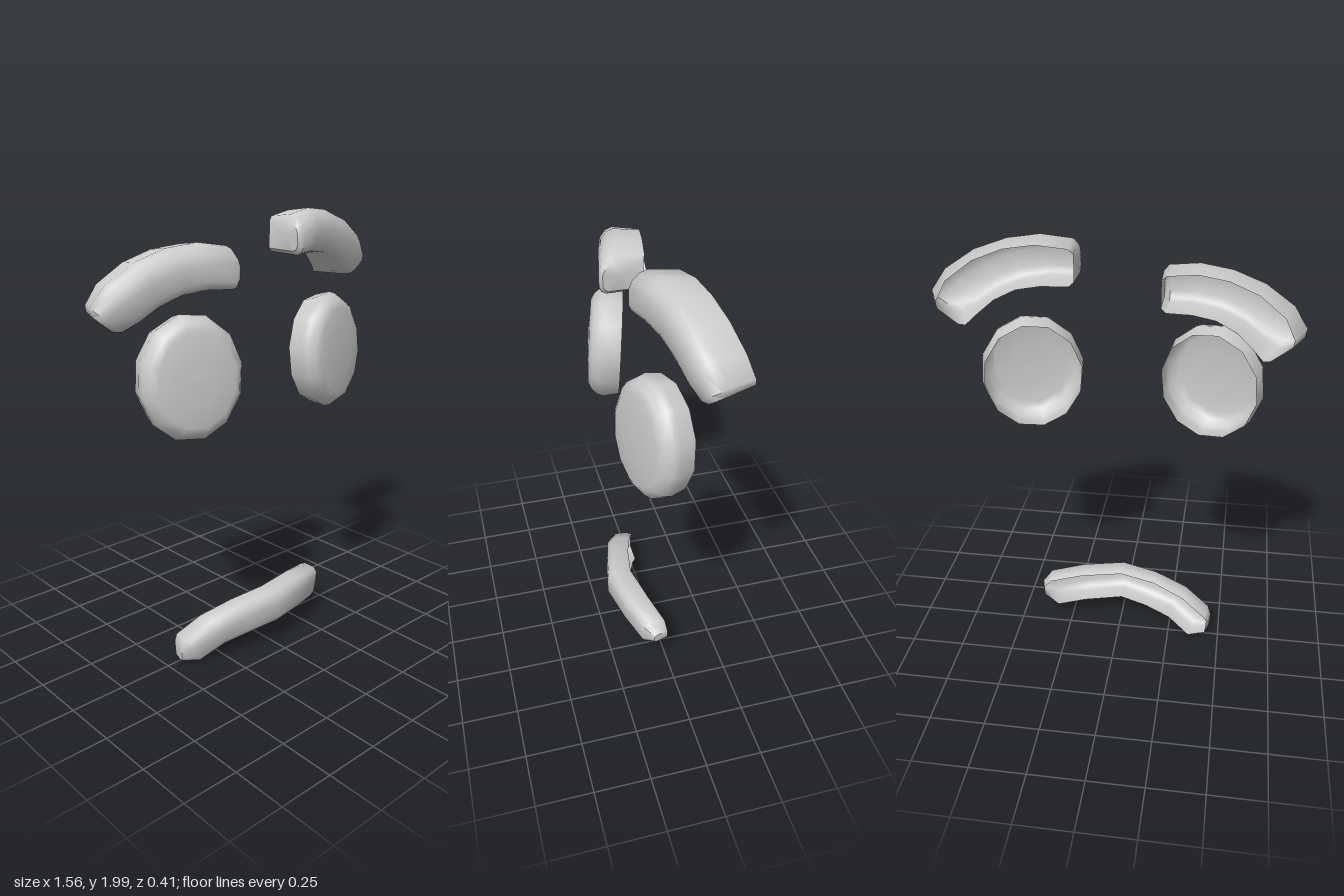
import * as THREE from 'three';
import { toCreasedNormals } from 'three/addons/utils/BufferGeometryUtils.js';

const material = new THREE.MeshStandardMaterial({ color: 0xcccccc, side: THREE.DoubleSide });

function addMesh(parent, name, geometry) {
  const mesh = new THREE.Mesh(geometry, material);
  mesh.name = name;
  parent.add(mesh);
  return mesh;
}

// Open-backed bar swept along x.
// station: [topX, topY, bottomX, bottomY, frontZ, backZ, backShiftX]
// profile: [s, d] with s from top (0) to bottom (1), d from back (0) to front (1)
function shellBar(stations, profile) {
  const positions = [], index = [], n = profile.length;
  const point = ([tx, ty, bx, by, zf, zb, shift], [s, d]) => positions.push(
    tx + (bx - tx) * s + shift * (1 - d), ty + (by - ty) * s, zb + (zf - zb) * d);
  for (const station of stations) for (const p of profile) point(station, p);
  for (let i = 0; i < stations.length - 1; i++) {
    for (let j = 0; j < n - 1; j++) {
      const a = i * n + j, b = a + n;
      index.push(a, a + 1, b, b, a + 1, b + 1);
    }
  }
  // Closed ends
  [0, stations.length - 1].forEach((row, end) => {
    const centre = positions.length / 3;
    point(stations[row], [0.5, 0.5]);
    for (let j = 0; j < n - 1; j++) {
      const a = row * n + j;
      if (end) index.push(centre, a, a + 1);
      else index.push(centre, a + 1, a);
    }
    const first = row * n, last = first + n - 1;
    if (end) index.push(centre, last, first);
    else index.push(centre, first, last);
  });
  const geometry = new THREE.BufferGeometry();
  geometry.setAttribute('position', new THREE.Float32BufferAttribute(positions, 3));
  geometry.setIndex(index);
  return toCreasedNormals(geometry, 0.85);
}

// Shallow twelve-sided cup with a softly domed front
function eyeGeometry() {
  const profile = [[1, 0], [1.06, 0.07], [1.03, 0.1], [0.93, 0.13], [0.8, 0.146], [0.4, 0.153], [0, 0.155]]
    .map(([r, d]) => new THREE.Vector2(r, d));
  return new THREE.LatheGeometry(profile, 12, THREE.MathUtils.degToRad(20))
    .rotateX(Math.PI / 2)
    .scale(0.22, 0.252, 1)
    .rotateX(-0.06)
    .rotateY(0.245)
    .translate(0.388, 1.355, 0.02);
}

function browGeometry() {
  const stations = [
    [0.178, 1.955, 0.178, 1.825, 0.112, -0.065, 0],
    [0.2, 1.98, 0.2, 1.807, 0.125, -0.075, 0],
    [0.33, 2.0, 0.31, 1.812, 0.098, -0.098, 0],
    [0.47, 1.985, 0.42, 1.8, 0.07, -0.12, -0.01],
    [0.61, 1.94, 0.52, 1.762, 0.046, -0.145, -0.025],
    [0.74, 1.86, 0.61, 1.705, 0.02, -0.175, -0.045],
    [0.805, 1.775, 0.675, 1.67, -0.01, -0.2, -0.07],
    [0.797, 1.745, 0.705, 1.675, -0.03, -0.205, -0.07],
  ];
  const profile = [[0.08, 0], [0, 0.62], [0.06, 0.78], [0.22, 0.93], [0.42, 1],
    [0.8, 1], [0.94, 0.95], [1, 0.84], [0.98, 0]];
  return shellBar(stations, profile);
}

function mouthGeometry() {
  const stations = [
    [-0.46, 0.11, -0.455, 0.03, 0.05, -0.025, 0.02],
    [-0.45, 0.14, -0.37, 0.008, 0.085, -0.03, 0.02],
    [-0.33, 0.212, -0.26, 0.075, 0.135, 0.01, 0.01],
    [-0.17, 0.26, -0.13, 0.1, 0.172, 0.055, 0],
    [0, 0.28, 0, 0.12, 0.203, 0.083, 0],
    [0.2, 0.275, 0.18, 0.112, 0.163, 0.045, 0],
    [0.36, 0.255, 0.32, 0.1, 0.115, 0.005, -0.01],
    [0.402, 0.21, 0.4, 0.165, 0.07, 0, -0.02],
  ];
  const profile = [[0.07, 0], [0, 0.22], [0.02, 0.75], [0.14, 0.95], [0.35, 1],
    [0.75, 1], [0.92, 0.9], [1, 0.7], [0.97, 0]];
  return shellBar(stations, profile);
}

export function createModel() {
  const model = new THREE.Group();
  model.name = 'faceParts';

  // Mirrored eyes and brows; the right brow sits lower and slightly forward
  const eye = eyeGeometry(), brow = browGeometry();
  for (const [label, side] of [['left', 1], ['right', -1]]) {
    addMesh(model, label + 'Eye', eye).scale.x = side;
    const browMesh = addMesh(model, label + 'Brow', brow);
    browMesh.scale.x = side;
    if (side < 0) browMesh.position.set(0, -0.103, 0.03);
  }

  // Lopsided mouth
  addMesh(model, 'mouth', mouthGeometry());
  return model;
}
